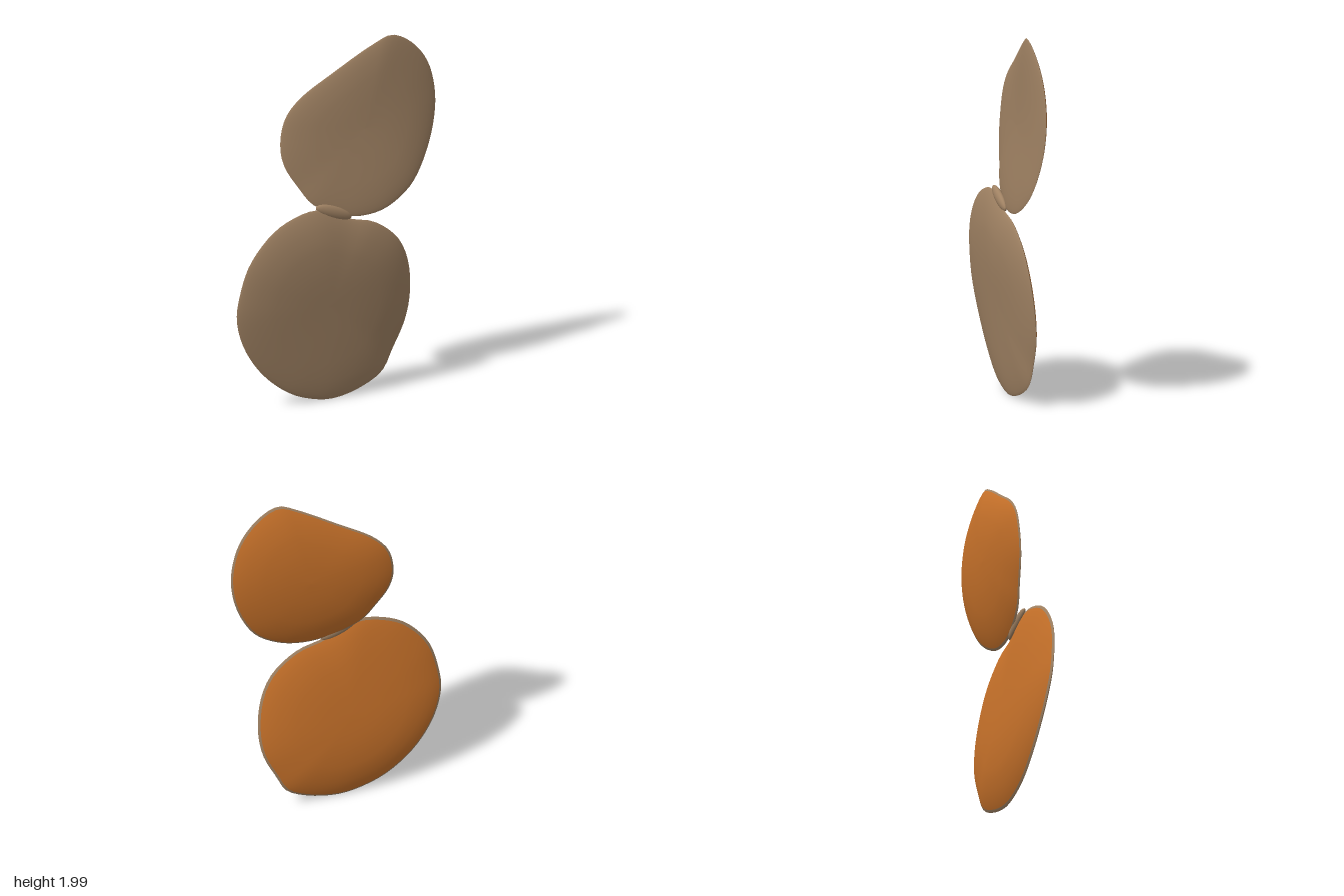
import * as THREE from 'three';

const shellBrown = new THREE.MeshStandardMaterial({ color: 0xa08263 });
shellBrown.name = 'shellBrown';
const innerOrange = new THREE.MeshStandardMaterial({ color: 0xc8722a });
innerOrange.name = 'innerOrange';

const SEGMENTS = 72;

// Sheet of concentric rings between the listed radii; side is +1 for the front, -1 for the back
function sheet(rim, centre, radii, side, thick, mid) {
  const pos = [], index = [];
  for (const r of radii) {
    const bulge = thick * Math.pow(1 - r ** 3, 0.8) * side;
    for (const p of rim) {
      const x = centre[0] + (p.x - centre[0]) * r;
      const y = centre[1] + (p.y - centre[1]) * r;
      pos.push(x, y, mid(x, y) + bulge);
    }
  }
  for (let j = 0; j < radii.length - 1; j++) {
    for (let i = 0; i < SEGMENTS; i++) {
      const k = (i + 1) % SEGMENTS;
      const a = j * SEGMENTS + i, b = j * SEGMENTS + k;
      const c = a + SEGMENTS, d = b + SEGMENTS;
      if (side > 0) index.push(a, c, d, a, d, b);
      else index.push(a, d, c, a, b, d);
    }
  }
  const geo = new THREE.BufferGeometry();
  geo.setAttribute('position', new THREE.Float32BufferAttribute(pos, 3));
  geo.setIndex(index);
  geo.computeVertexNormals();
  return geo;
}

// One lens-shaped valve; outline runs anticlockwise seen from the front
function valve(name, outline, centre, thick, mid) {
  const curve = new THREE.CatmullRomCurve3(
    outline.map(([x, y]) => new THREE.Vector3(x, y, 0)), true);
  const rim = curve.getSpacedPoints(SEGMENTS).slice(0, SEGMENTS);
  const group = new THREE.Group();
  group.name = name;
  const add = (part, radii, side, material) => {
    const mesh = new THREE.Mesh(sheet(rim, centre, radii, side, thick, mid), material);
    mesh.name = part;
    group.add(mesh);
  };
  const inner = [0.001, 0.15, 0.3, 0.45, 0.6, 0.7, 0.8, 0.88, 0.94, 0.975];
  add('outerShell', [...inner, 0.99, 1], 1, shellBrown);
  add('innerFace', inner, -1, innerOrange);
  add('shellRim', [0.975, 0.99, 1], -1, shellBrown);
  return group;
}

export function createModel() {
  const model = new THREE.Group();
  model.name = 'openShell';

  // Lower valve, leaning forward towards the hinge
  const lower = [
    [-0.14, 1.1], [-0.3, 1.07], [-0.42, 1.0], [-0.54, 0.85], [-0.59, 0.68], [-0.6, 0.55],
    [-0.56, 0.4], [-0.48, 0.26], [-0.38, 0.15], [-0.25, 0.06], [-0.1, 0.012], [0, 0.006],
    [0.15, 0.04], [0.28, 0.11], [0.34, 0.22], [0.41, 0.37], [0.435, 0.53], [0.41, 0.73],
    [0.34, 0.87], [0.2, 0.98], [0.06, 1.02],
  ];
  model.add(valve('lowerValve', lower, [-0.08, 0.55], 0.062, (x, y) =>
    -0.02 + 0.065 * THREE.MathUtils.smoothstep(y, 0.2, 1.05)
    + 0.25 * Math.max(0, 0.2 - y) ** 2));

  // Upper valve, dished backwards and slightly twisted
  const upper = [
    [-0.14, 1.115], [0.06, 1.032], [0.2, 1.03], [0.3, 1.06], [0.43, 1.15], [0.52, 1.29],
    [0.58, 1.47], [0.59, 1.64], [0.54, 1.82], [0.43, 1.95], [0.32, 2.0], [0.22, 1.96],
    [0, 1.83], [-0.2, 1.7], [-0.28, 1.6], [-0.31, 1.45], [-0.29, 1.34], [-0.22, 1.22],
  ];
  model.add(valve('upperValve', upper, [0.16, 1.5], 0.046, (x, y) =>
    0.22 * (y - 1.62) ** 2 - 0.035 + 0.0575 * (x - 0.15)));

  // Hinge joining the two valves
  const hinge = new THREE.Mesh(new THREE.SphereGeometry(1, 24, 12), shellBrown);
  hinge.name = 'hinge';
  hinge.scale.set(0.115, 0.035, 0.022);
  hinge.position.set(-0.04, 1.07, 0.04);
  hinge.rotation.z = -0.4;
  model.add(hinge);

  return model;
}
